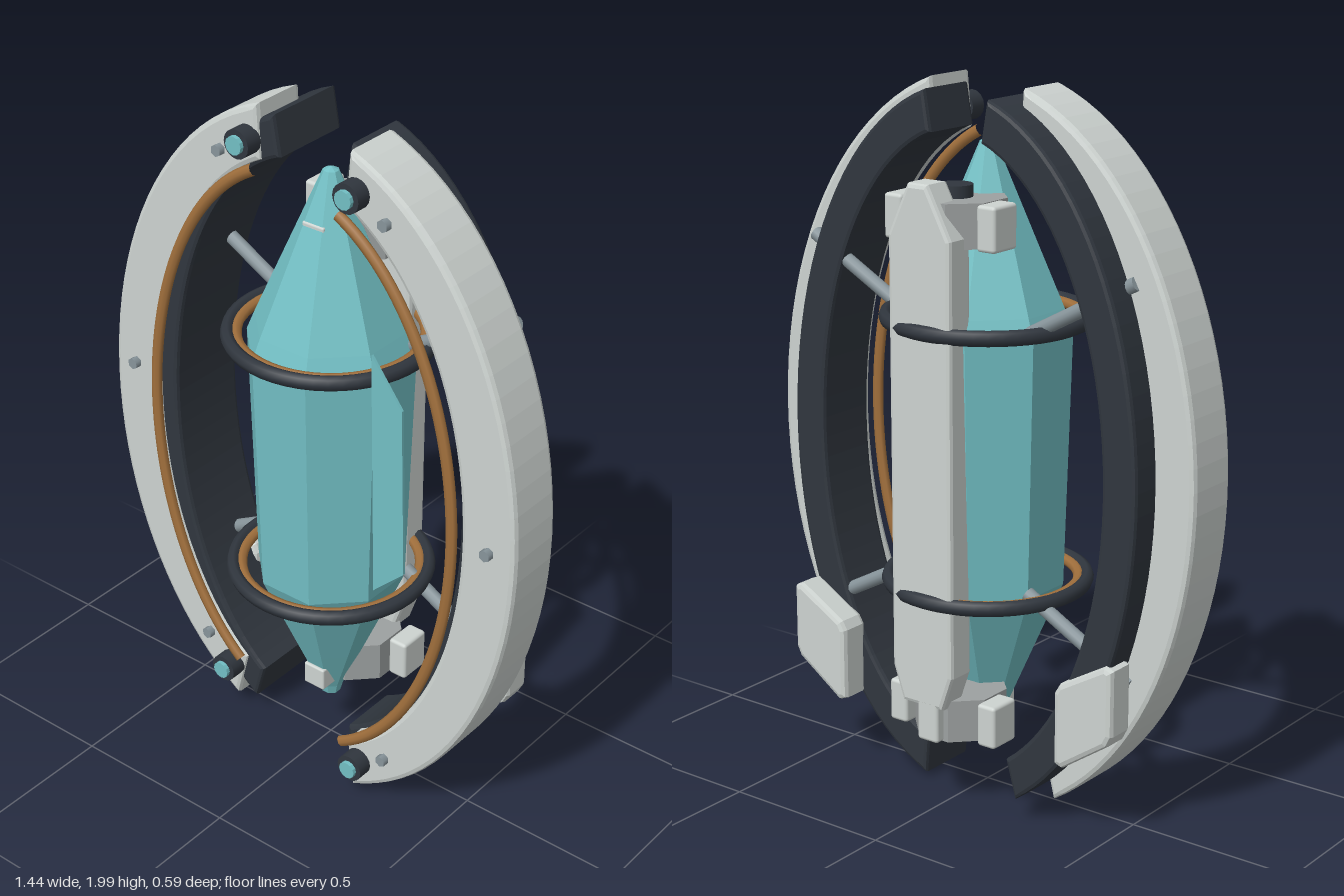
import * as THREE from 'three';
import { RoundedBoxGeometry } from 'three/addons/geometries/RoundedBoxGeometry.js';

const paint = (name, color, flatShading = false) => {
  const m = new THREE.MeshStandardMaterial({ color, flatShading });
  m.name = name;
  return m;
};

export function createModel() {
  const root = new THREE.Group();
  root.name = 'capsule';
  const white = paint('white shell', 0xcdd3d0);
  const dark = paint('dark metal', 0x30363e);
  const teal = paint('teal hull', 0x72bfc4, true);
  const bronze = paint('bronze', 0xa06f3c);
  const steel = paint('steel', 0x87949a);
  const grey = paint('grey collar', 0x9da1a1, true);

  const add = (name, geo, mat, x = 0, y = 0, z = 0) => {
    const m = new THREE.Mesh(geo, mat);
    m.name = name;
    m.position.set(x, y, z);
    root.add(m);
    return m;
  };

  // Points on an upright half ellipse centred on y = 1, between two end x values
  const arc = (s, a, b, xTop, xBottom, n = 40) => {
    const t0 = Math.acos(xTop / a), t1 = -Math.acos(xBottom / a);
    return Array.from({ length: n + 1 }, (_, i) => {
      const t = t0 + (t1 - t0) * i / n;
      return new THREE.Vector2(s * a * Math.cos(t), 1 + b * Math.sin(t));
    });
  };
  // Bevelled plate from z0 to z1
  const slab = (points, z0, z1, bevel = 0.012) => {
    const g = new THREE.ExtrudeGeometry(new THREE.Shape(points), {
      depth: z1 - z0 - 2 * bevel, bevelEnabled: bevel > 0, bevelThickness: bevel,
      bevelSize: bevel, bevelOffset: -bevel, bevelSegments: 2, steps: 1,
    });
    return g.translate(0, 0, z0 + bevel);
  };
  const v2 = (list, s = 1) => list.map(([x, y]) => new THREE.Vector2(s * x, y));
  const disc = (r, h, sides) => new THREE.CylinderGeometry(r, r, h, sides).rotateX(Math.PI / 2);

  // Curved side shells; the two sides differ in depth and in lower end
  const sides = [
    { s: 1, label: 'left', shell: [-0.023, 0.155], frame: [-0.11, 0.085], rail: 0.178,
      outer: [0.18, 0.2], inner: [0.165, 0.18], fOuter: [0.13, 0.14], fInner: [0.11, 0.13],
      knobs: [[0.206, 1.895], [0.227, 0.115]], studs: [[0.3, 1.84], [0.64, 1.015], [0.317, 0.17]] },
    { s: -1, label: 'right', shell: [-0.088, 0.085], frame: [-0.18, 0.075], rail: 0.113,
      outer: [0.175, 0.29], inner: [0.165, 0.25], fOuter: [0.13, 0.227], fInner: [0.11, 0.195],
      knobs: [[0.206, 1.895], [0.306, 0.17]], studs: [[0.3, 1.84], [0.64, 1.08], [0.39, 0.245]] },
  ];
  for (const d of sides) {
    const { s, label } = d;
    const band = (oa, ob, oe, ia, ib, ie) =>
      [...arc(s, oa, ob, ...oe), ...arc(s, ia, ib, ...ie).reverse()];
    add(label + 'Shell', slab(band(0.722, 1.03, d.outer, 0.552, 0.885, d.inner), ...d.shell, 0.015), white);
    add(label + 'Frame', slab(band(0.605, 1.0, d.fOuter, 0.5, 0.885, d.fInner), ...d.frame), dark);

    // Bronze rail on the inner front edge
    const path = new THREE.CatmullRomCurve3(
      arc(s, 0.54, 0.873, 0.165, d.inner[1]).map(p => new THREE.Vector3(p.x, p.y, 0)));
    add(label + 'Rail', new THREE.TubeGeometry(path, 60, 0.017, 8).scale(1, 1, 0.75), bronze, 0, 0, d.rail);

    const front = d.shell[1];
    for (const [x, y] of d.knobs) {
      add('knob', disc(0.041, 0.05, 16), dark, s * x, y, front + 0.02);
      add('knobLens', disc(0.026, 0.06, 12), teal, s * x, y, front + 0.027);
    }
    for (const [x, y] of d.studs) add('stud', disc(0.017, 0.022, 6), steel, s * x, y, front + 0.009);

    // Rear pod low on the frame
    add(label + 'Pod', slab(v2([
      [0.365, 0.43], [0.38, 0.455], [0.525, 0.54], [0.55, 0.53],
      [0.55, 0.345], [0.535, 0.315], [0.39, 0.215], [0.365, 0.225],
    ], s), -0.195, -0.1, 0.015), white);

    // Struts between the rings and the frame
    for (const k of [1, -1]) {
      const a = new THREE.Vector3(s * 0.2, 1 + k * 0.36, -0.085);
      const b = new THREE.Vector3(s * 0.535, 1 + k * 0.542, -0.085);
      const rod = add('strut', new THREE.CylinderGeometry(0.02, 0.02, a.distanceTo(b), 12), steel);
      rod.position.copy(a).add(b).multiplyScalar(0.5);
      rod.quaternion.setFromUnitVectors(new THREE.Vector3(0, 1, 0), b.sub(a).normalize());
    }
  }

  // Eight-sided hull with pointed ends
  const profile = v2([[0, 0.165], [0.028, 0.17], [0.036, 0.2], [0.1, 0.35], [0.215, 0.62],
    [0.236, 1.34], [0.212, 1.4], [0.022, 1.84], [0, 1.85]]);
  add('hull', new THREE.LatheGeometry(profile, 8, Math.PI / 8), teal);

  // Rings around the hull
  for (const y of [1.37, 0.627]) {
    const ring = (R, r, h) => new THREE.TorusGeometry(R, r, 8, 48).scale(1, 1, h).rotateX(Math.PI / 2);
    add('outerRing', ring(0.276, 0.019, 1.15), dark, 0, y);
    add('innerRing', ring(0.254, 0.017, 0.9), bronze, 0, y);
  }

  // Rear spine with chamfered ends
  add('spine', slab(v2([[-0.085, 0.42], [-0.05, 0.32], [0.085, 0.32], [0.12, 0.42],
    [0.12, 1.62], [0.055, 1.76], [-0.01, 1.76], [-0.085, 1.62]]), -0.275, -0.185), white);

  // Collars and clamp blocks at both ends of the spine
  for (const y of [1.652, 0.28]) {
    add('collar', new THREE.CylinderGeometry(0.132, 0.132, 0.12, 8).rotateY(Math.PI / 8), grey, 0, y, -0.125);
    for (const s of [1, -1])
      add('clampBlock', new RoundedBoxGeometry(0.06, 0.122, 0.1, 2, 0.01), white, s * 0.153, y, -0.163);
    add('rearBlock', new RoundedBoxGeometry(0.07, 0.122, 0.08, 2, 0.01), white, 0, y, -0.235);
  }
  add('collarKnob', new THREE.CylinderGeometry(0.046, 0.046, 0.05, 16), dark, 0, 1.72, -0.137);
  add('upperClip', new RoundedBoxGeometry(0.072, 0.03, 0.06, 2, 0.006), white, 0, 1.697, 0.046);
  add('lowerClip', new RoundedBoxGeometry(0.072, 0.07, 0.07, 2, 0.006), white, 0, 0.26, 0.045);

  // Loose side panel
  add('sidePanel', slab(v2([[0.255, 1.455], [0.355, 1.325], [0.37, 0.825], [0.27, 0.73]]),
    0.145, 0.153, 0), teal);

  return root;
}
